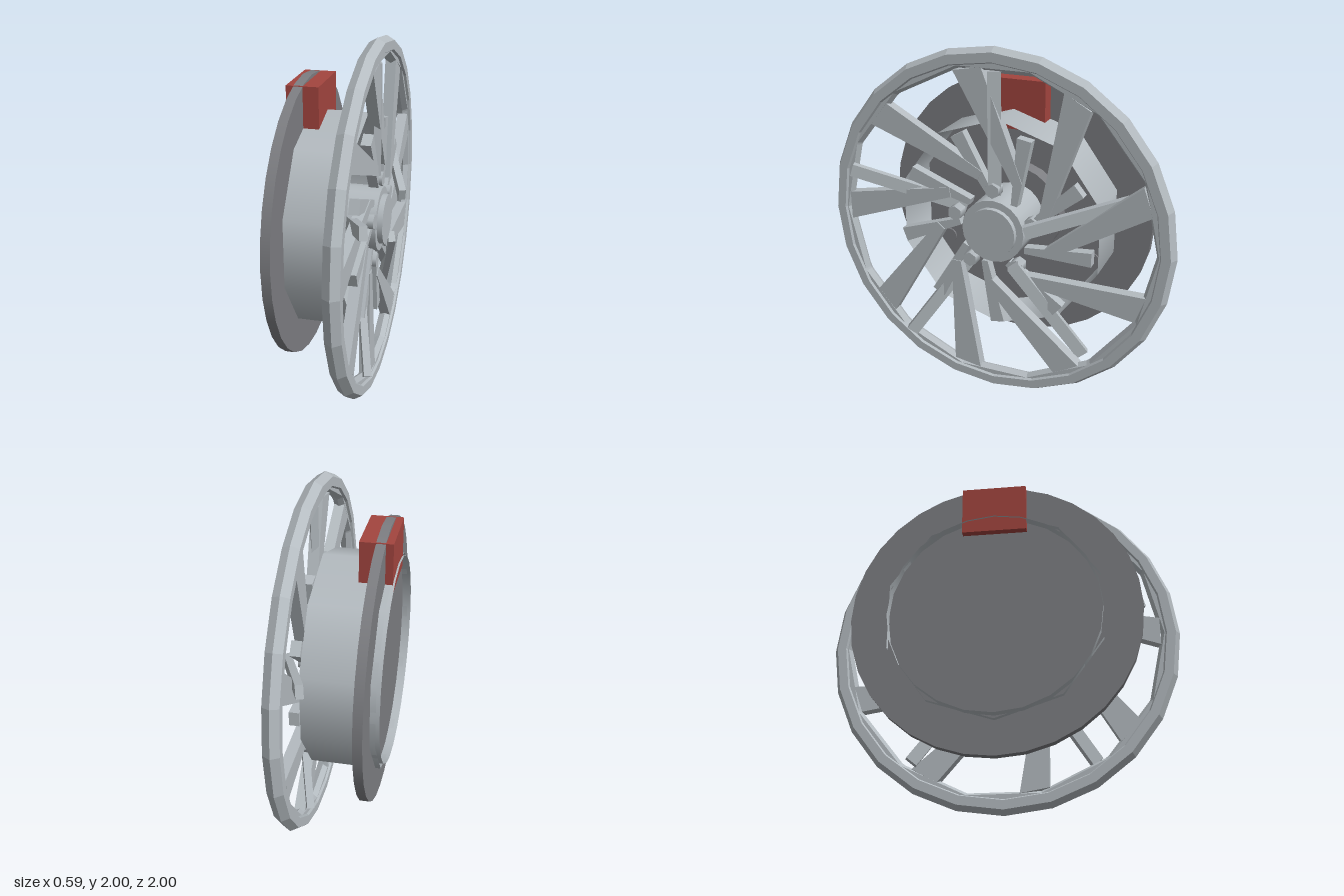
import * as THREE from 'three';

const DEG = Math.PI / 180;

// Gives a geometry hard facets
function facet(geometry) {
  const g = geometry.toNonIndexed();
  g.computeVertexNormals();
  return g;
}

// Cylinder along the axle (local z) between two depths
function axleCylinder(radius, z0, z1, sides, open = false) {
  const g = new THREE.CylinderGeometry(radius, radius, z1 - z0, sides, 1, open);
  g.rotateX(Math.PI / 2);
  g.translate(0, 0, (z0 + z1) / 2);
  return g;
}

// Flat blade cut from four corners in the wheel plane
function bladeGeometry(corners, z0, thickness) {
  const shape = new THREE.Shape(corners.map(([x, y]) => new THREE.Vector2(x, y)));
  const g = new THREE.ExtrudeGeometry(shape, { depth: thickness, bevelEnabled: false });
  g.translate(0, 0, z0);
  return g;
}

export function createModel() {
  const alloy = new THREE.MeshStandardMaterial({ color: 0xb4bbc0, side: THREE.DoubleSide });
  alloy.name = 'alloy';
  const iron = new THREE.MeshStandardMaterial({ color: 0x7d7e82 });
  iron.name = 'brake iron';
  const red = new THREE.MeshStandardMaterial({ color: 0xa3453f });
  red.name = 'caliper red';

  // Wheel frame: local z is the axle and points to the outer face (+x)
  const wheel = new THREE.Group();
  wheel.name = 'wheel';
  wheel.rotation.y = Math.PI / 2;
  wheel.position.y = 1;

  const add = (name, geometry, material) => {
    const mesh = new THREE.Mesh(geometry, material);
    mesh.name = name;
    wheel.add(mesh);
    return mesh;
  };

  // Outer rim and its coarser inner lip
  const rim = add('outerRim', facet(new THREE.TorusGeometry(0.95, 0.05, 6, 24)), alloy);
  const lip = add('innerLip', facet(new THREE.TorusGeometry(0.93, 0.035, 6, 14)), alloy);
  rim.position.z = lip.position.z = 0.16;

  // Open barrel with a short ring at the back
  add('barrel', axleCylinder(0.605, -0.27, 0.12, 10, true), alloy);
  add('backRing', axleCylinder(0.58, -0.29, -0.2, 24, true), alloy);

  // Brake disc, its raised centre and three pins
  add('brakeDisc', axleCylinder(0.79, -0.24, -0.19, 32), iron);
  add('discHat', axleCylinder(0.28, -0.19, -0.1, 24), iron);
  for (const a of [90, 210, 330]) {
    const pin = add('discPin', axleCylinder(0.045, -0.19, -0.18, 12), iron);
    pin.position.set(0.52 * Math.cos(a * DEG), 0.52 * Math.sin(a * DEG), 0);
  }

  // Caliper straddling the disc
  const caliper = add('caliper', new THREE.BoxGeometry(0.36, 0.28, 0.175), red);
  caliper.position.set(0, 0.63, -0.1925);

  // Hub and centre cap
  add('hub', axleCylinder(0.18, -0.1, 0.2, 20), alloy);
  add('centreCap', axleCylinder(0.14, 0.2, 0.23, 24), alloy);

  // Nine pairs of swept blades
  const longBlade = bladeGeometry(
    [[-0.086, -0.888], [-0.2, -0.22], [-0.255, -0.22], [-0.246, -0.861]], 0.13, 0.06);
  const shortBlade = bladeGeometry(
    [[0.18, -0.107], [0.556, -0.118], [0.556, -0.037], [0.18, -0.07]], 0.13, 0.055);
  for (let i = 0; i < 9; i++) {
    add('longBlade', longBlade, alloy).rotation.z = i * 40 * DEG;
    add('shortBlade', shortBlade, alloy).rotation.z = i * 40 * DEG;
  }

  // Five straight spokes, all slanted about the vertical, each with a hex nut
  for (let i = 0; i < 5; i++) {
    const a = (90 + 72 * i) * DEG;
    const bar = new THREE.BoxGeometry(0.67, 0.07, 0.04);
    bar.rotateZ(a);
    bar.rotateY(0.35);
    const spoke = add('spoke', bar, alloy);
    spoke.position.set(0.54 * Math.cos(a), 0.54 * Math.sin(a), 0.165);
    const nut = add('wheelNut', axleCylinder(0.042, 0.14, 0.205, 6), alloy);
    nut.position.set(0.235 * Math.cos(a), 0.235 * Math.sin(a), 0);
  }

  const model = new THREE.Group();
  model.name = 'wheelWithBrake';
  model.add(wheel);
  return model;
}
